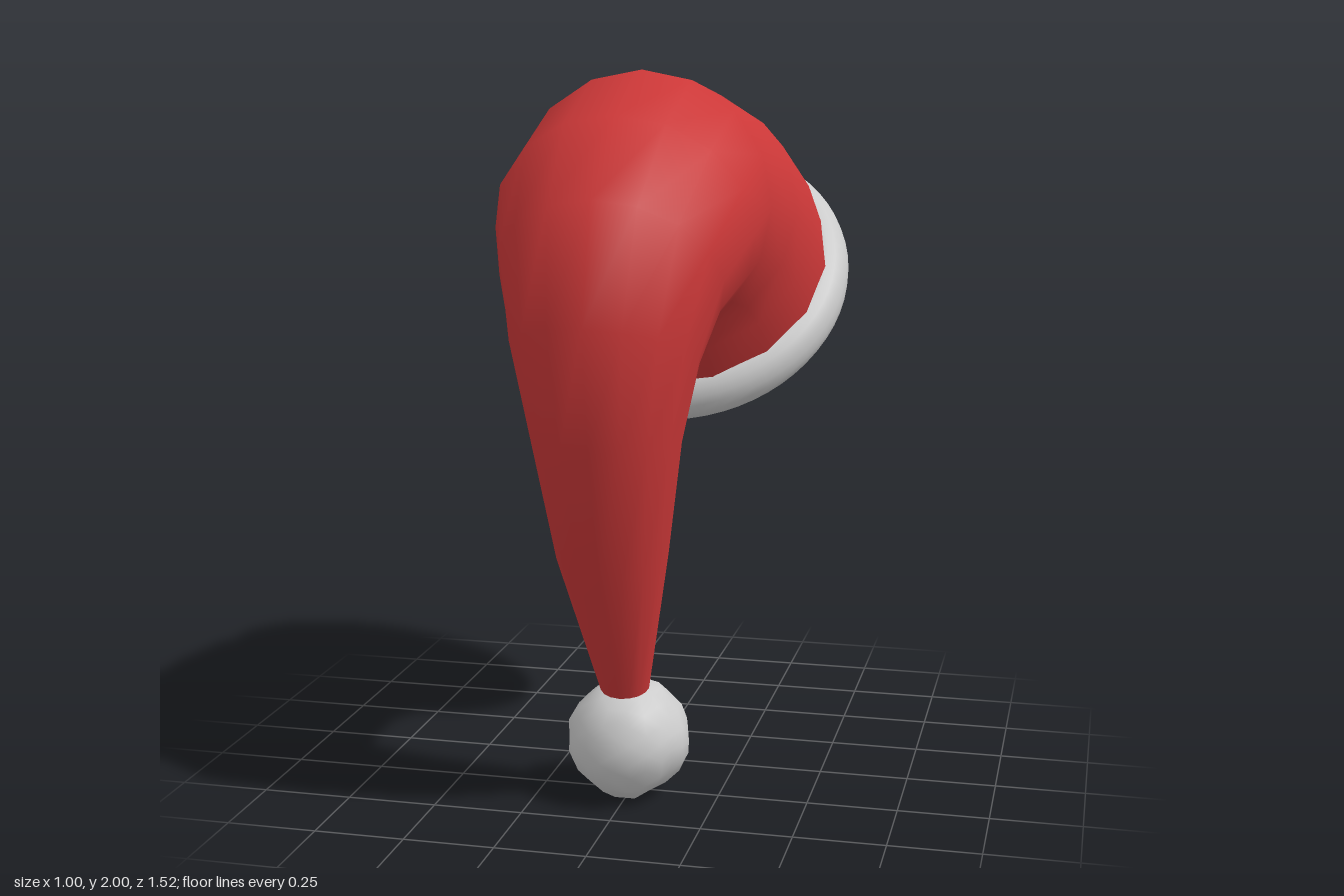
import * as THREE from 'three';
import { mergeVertices } from 'three/addons/utils/BufferGeometryUtils.js';

const SIDES = 16;

// Cross-sections from brim to tip: outer z, outer y, inner z, inner y, half width
const SECTIONS = [
  [-0.68, 1.69, -0.08, 1.08, 0.43],
  [-0.63, 1.75, -0.02, 1.10, 0.445],
  [-0.48, 1.87, 0.06, 1.20, 0.425],
  [-0.22, 1.95, 0.11, 1.25, 0.40],
  [0.12, 2.00, 0.17, 1.275, 0.365],
  [0.43, 1.89, 0.22, 1.28, 0.355],
  [0.67, 1.69, 0.27, 1.26, 0.30],
  [0.76, 1.38, 0.30, 1.20, 0.25],
  [0.71, 1.06, 0.315, 1.06, 0.20],
  [0.60, 0.70, 0.31, 0.79, 0.152],
  [0.39, 0.31, 0.26, 0.34, 0.068],
];

// Skin a closed tube over elliptical cross-sections
function loft(sections) {
  const positions = [], index = [];
  sections.forEach(([oz, oy, iz, iy, w], i) => {
    for (let j = 0; j < SIDES; j++) {
      const a = (j / SIDES) * Math.PI * 2;
      const t = (1 + Math.cos(a)) / 2;
      positions.push(w * Math.sin(a), iy + (oy - iy) * t, iz + (oz - iz) * t);
      if (i === sections.length - 1) continue;
      const k = (j + 1) % SIDES, r = i * SIDES, n = r + SIDES;
      index.push(r + j, n + j, r + k, r + k, n + j, n + k);
    }
  });
  const g = new THREE.BufferGeometry();
  g.setAttribute('position', new THREE.Float32BufferAttribute(positions, 3));
  g.setIndex(index);
  g.computeVertexNormals();
  return g;
}

// Slightly lumpy ball
function lumpyBall(radius) {
  let g = new THREE.IcosahedronGeometry(radius, 3);
  g.deleteAttribute('uv');
  g.deleteAttribute('normal');
  g = mergeVertices(g, 1e-4);
  const p = g.attributes.position, v = new THREE.Vector3();
  let seed = 7;
  const rand = () => (seed = (seed * 16807) % 2147483647) / 2147483647;
  for (let i = 0; i < p.count; i++) {
    v.fromBufferAttribute(p, i).multiplyScalar(0.95 + 0.09 * rand());
    p.setXYZ(i, v.x, v.y, v.z);
  }
  g.computeVertexNormals();
  return g;
}

export function createModel() {
  const group = new THREE.Group();
  group.name = 'floppyHat';
  const red = new THREE.MeshStandardMaterial({ color: 0xcc3838, side: THREE.DoubleSide });
  const grey = new THREE.MeshStandardMaterial({ color: 0xcccccc });
  const add = (name, geometry, material, x, y, z) => {
    const mesh = new THREE.Mesh(geometry, material);
    mesh.name = name;
    mesh.position.set(x, y, z);
    group.add(mesh);
    return mesh;
  };

  // Drooping cloth cone, open at the brim
  add('hatBody', loft(SECTIONS), red, 0, 0, 0);

  // Tilted fluffy brim
  const brim = add('brim', new THREE.TorusGeometry(0.422, 0.08, 20, 64), grey, 0, 1.38, -0.378);
  brim.rotation.x = -Math.PI / 4;

  // Pompom at the tip
  add('pompom', lumpyBall(0.168), grey, 0, 0.167, 0.285);

  return group;
}
